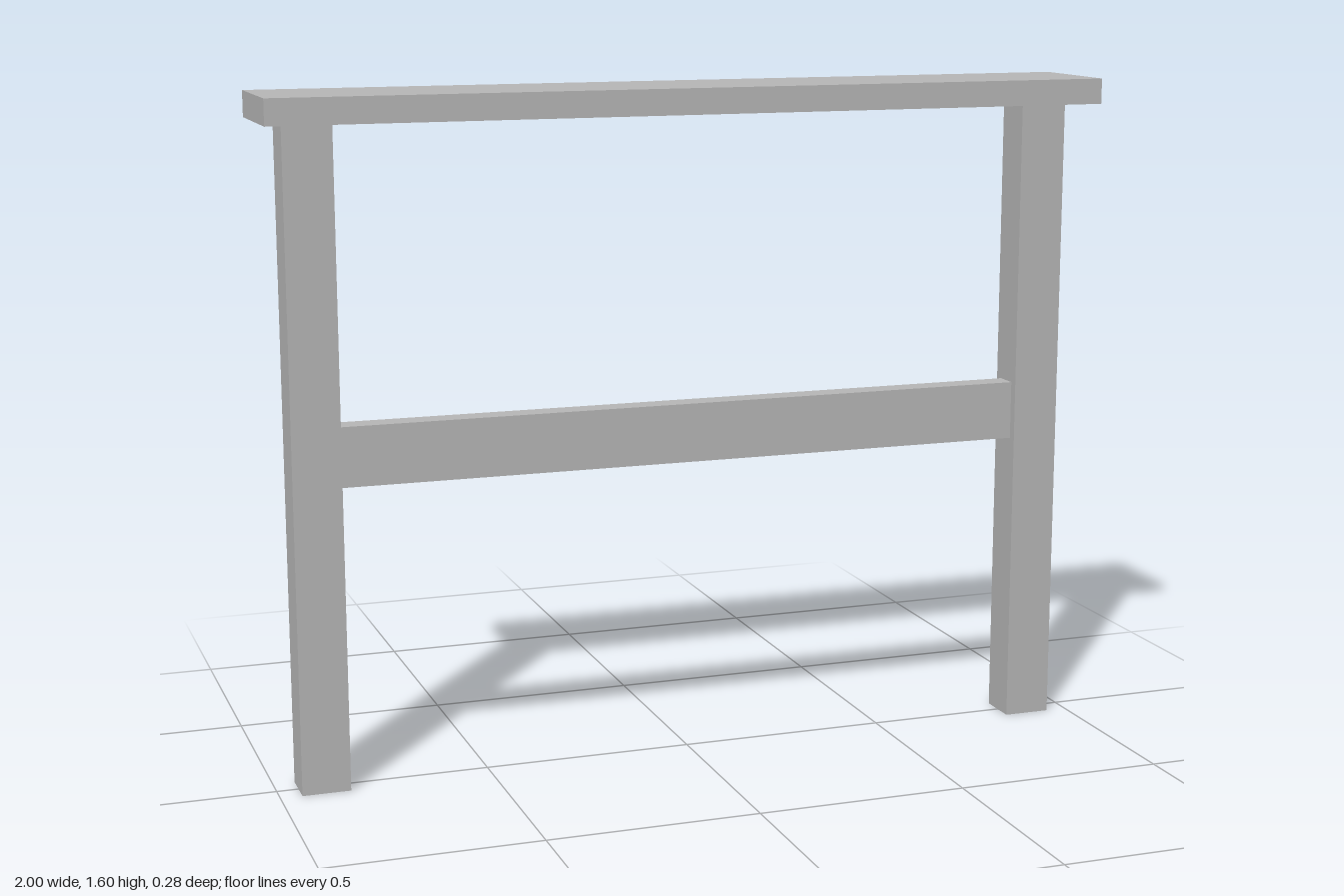
import * as THREE from 'three';

export function createModel() {
  const model = new THREE.Group();
  model.name = 'sideFrame';
  const grey = new THREE.MeshStandardMaterial({ color: 0xb8b8b8 });
  grey.name = 'plain grey';

  const addBox = (name, [w, h, d], [x, y, z]) => {
    const mesh = new THREE.Mesh(new THREE.BoxGeometry(w, h, d), grey);
    mesh.name = name;
    mesh.position.set(x, y, z);
    model.add(mesh);
  };

  // Flat board across the top
  addBox('topBoard', [2, 0.06, 0.275], [0, 1.565, 0]);

  // Two square posts, mirrored
  for (const [name, side] of [['leftLeg', 1], ['rightLeg', -1]]) {
    addBox(name, [0.113, 1.535, 0.1], [side * 0.893, 0.7675, 0]);
  }

  // Thin rail between the posts
  addBox('crossRail', [1.673, 0.14, 0.057], [0, 0.78, 0]);

  return model;
}
